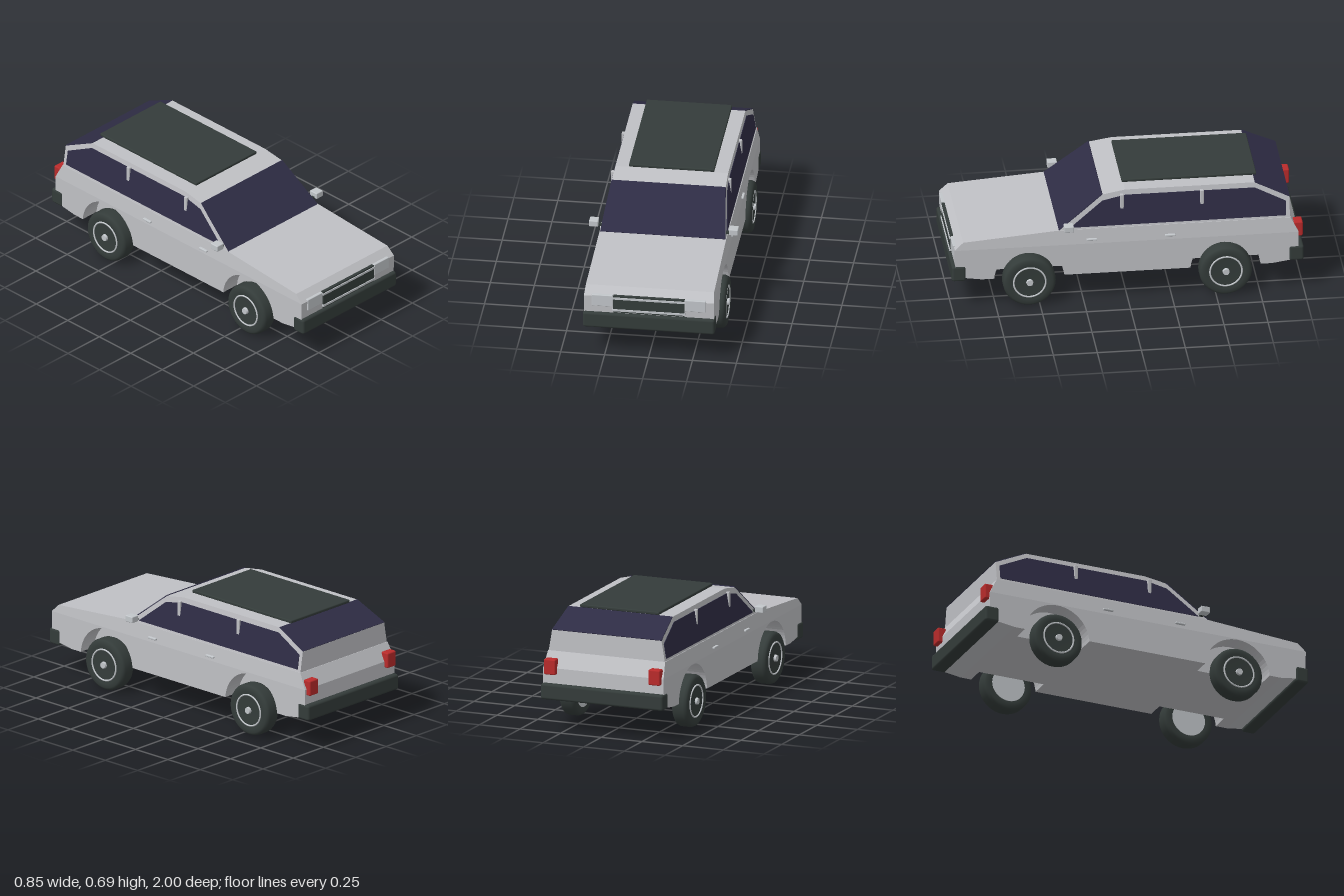
import * as THREE from 'three';
import { RoundedBoxGeometry } from 'three/addons/geometries/RoundedBoxGeometry.js';

const material = (name, color) => {
  const m = new THREE.MeshStandardMaterial({ color });
  m.name = name;
  return m;
};

export function createModel() {
  const paint = material('silver paint', 0xbfc0c4);
  const trim = material('light trim', 0xc2c6ca);
  const dark = material('dark rubber', 0x343c3a);
  const glass = material('tinted glass', 0x2e2c44);
  const red = material('red lamp', 0xb92b2b);

  const car = new THREE.Group();
  car.name = 'car';

  const add = (name, geometry, mat, parent = car) => {
    const mesh = new THREE.Mesh(geometry, mat);
    mesh.name = name;
    parent.add(mesh);
    return mesh;
  };

  // Box given by its limits on each axis, with optional rounded edges
  const box = (name, [x0, x1], [y0, y1], [z0, z1], mat, r = 0) => {
    const size = [x1 - x0, y1 - y0, z1 - z0];
    const g = r ? new RoundedBoxGeometry(...size, 3, r) : new THREE.BoxGeometry(...size);
    g.translate((x0 + x1) / 2, (y0 + y1) / 2, (z0 + z1) / 2);
    return add(name, g, mat);
  };

  // Side profile of [z, y] points, swept across x between two limits that may vary with height
  const prism = (name, profile, xMin, xMax, mat) => {
    const shape = new THREE.Shape(profile.map(([z, y]) => new THREE.Vector2(z, y)));
    const g = new THREE.ExtrudeGeometry(shape, { depth: 2, bevelEnabled: false });
    g.translate(0, 0, -1).rotateY(-Math.PI / 2);
    const p = g.attributes.position;
    for (let i = 0; i < p.count; i++) {
      p.setX(i, p.getX(i) > 0 ? xMax(p.getY(i)) : xMin(p.getY(i)));
    }
    g.computeVertexNormals();
    return add(name, g, mat);
  };
  const across = (name, profile, half, mat) => prism(name, profile, y => -half(y), half, mat);

  // Lower body: a plain core between side panels with wheel arches
  const axles = [-0.555, 0.56];
  const split = 0.365, sill = 0.175, core = 0.26, width = 0.37;
  const nose = [[0.83, sill], [0.93, 0.19], [0.98, 0.25], [0.983, split]];
  const tail = [[-0.97, split], [-0.97, 0.25], [-0.92, 0.19], [-0.82, sill]];
  across('lowerBody', [...nose, ...tail], () => core, paint);

  const arches = [];
  for (const z of axles) {
    const a0 = Math.asin((sill - 0.16) / 0.2);
    for (let i = 0; i <= 28; i++) {
      const a = Math.PI - a0 - (i / 28) * (Math.PI - 2 * a0);
      arches.push([z + 0.2 * Math.cos(a), 0.16 + 0.2 * Math.sin(a)]);
    }
  }
  const panel = [tail[3], ...arches, ...nose, ...tail.slice(0, 3)];
  prism('leftSidePanel', panel, () => core, () => width, paint);
  prism('rightSidePanel', panel, () => -width, () => -core, paint);

  // Shoulders and bonnet, narrowing slightly towards the waistline
  across('upperBody', [[0.983, split], [0.935, 0.412], [0.39, 0.453], [-0.925, 0.455], [-0.97, split]],
    y => width - (y - split) * 0.11, paint);

  // Cabin with sides leaning inwards
  const cabinHalf = y => 0.357 - (y - 0.453) * 0.167;
  const glassHalf = y => cabinHalf(y) + 0.003;
  across('cabin', [[0.39, 0.448], [0.14, 0.648], [0.01, 0.67], [-0.725, 0.67], [-0.922, 0.575], [-0.922, 0.448]],
    cabinHalf, paint);
  across('sideWindows', [[0.325, 0.465], [0.14, 0.613], [0.01, 0.64], [-0.725, 0.64], [-0.9, 0.553], [-0.9, 0.468]],
    glassHalf, glass);
  across('windscreen', [[0.388, 0.452], [0.391, 0.455], [0.141, 0.653], [0.138, 0.648]], cabinHalf, glass);
  across('rearWindow', [[-0.727, 0.668], [-0.729, 0.672], [-0.924, 0.578], [-0.921, 0.574]], cabinHalf, glass);

  // Roof rack panel on small feet
  box('roofPanel', [-0.243, 0.243], [0.675, 0.693], [-0.745, 0.02], dark, 0.006);
  for (const x of [-0.2, 0.2]) for (const z of [-0.65, -0.08]) {
    box('roofPanelFoot', [x - 0.01, x + 0.01], [0.665, 0.68], [z - 0.01, z + 0.01], dark);
  }

  // Bumpers
  box('frontBumper', [-0.375, 0.375], [0.17, 0.265], [0.92, 1], dark, 0.014);
  box('rearBumper', [-0.375, 0.375], [0.185, 0.277], [-1, -0.915], dark, 0.014);

  // Grille
  box('grille', [-0.203, 0.203], [0.272, 0.376], [0.96, 0.99], dark);
  for (const y of [0.287, 0.362]) {
    box('grilleBar', [-0.207, 0.207], [y - 0.006, y + 0.006], [0.97, 0.995], trim);
  }

  // Parts repeated on both sides
  for (const s of [-1, 1]) {
    const side = s > 0 ? 'left' : 'right';
    const span = (a, b) => (s > 0 ? [a, b] : [-b, -a]);
    box(side + 'Headlight', span(0.206, 0.325), [0.305, 0.376], [0.96, 0.989], trim, 0.004);
    box(side + 'TailLight', span(0.286, 0.357), [0.33, 0.42], [-0.996, -0.945], red, 0.008);
    box(side + 'MirrorArm', span(0.34, 0.38), [0.467, 0.478], [0.33, 0.35], dark);
    box(side + 'Mirror', span(0.372, 0.424), [0.467, 0.504], [0.312, 0.367], trim, 0.005);
    for (const z of [0.205, -0.24]) {
      box(side + 'DoorHandle', span(0.355, 0.38), [0.385, 0.397], [z - 0.03, z + 0.03], trim, 0.004);
    }
    for (const z of [0.03, -0.425]) {
      box(side + 'Pillar', span(0.316, 0.342), [0.5, 0.648], [z - 0.011, z + 0.011], paint, 0.004);
    }
  }

  // Wheels: profiles run along the axle, outer face towards +y before turning
  const tyreProfile = [[0, -0.045], [0.1, -0.045], [0.108, -0.049], [0.132, -0.048], [0.144, -0.04], [0.15, -0.026],
    [0.15, 0.026], [0.144, 0.04], [0.132, 0.048], [0.108, 0.05], [0.098, 0.044], [0, 0.044]]
    .map(([r, y]) => new THREE.Vector2(r, y));
  const makeWheel = (name, x, z) => {
    const wheel = new THREE.Group();
    wheel.name = name;
    add('tyre', new THREE.LatheGeometry(tyreProfile, 40), dark, wheel);
    add('rimRing', new THREE.TorusGeometry(0.091, 0.005, 8, 40).rotateX(Math.PI / 2), trim, wheel).position.y = 0.045;
    add('hubCap', new THREE.CylinderGeometry(0.018, 0.021, 0.018, 20), trim, wheel).position.y = 0.049;
    add('innerRim', new THREE.CylinderGeometry(0.1, 0.1, 0.006, 36), trim, wheel).position.y = -0.046;
    wheel.rotation.z = x > 0 ? -Math.PI / 2 : Math.PI / 2;
    wheel.position.set(x, 0.15, z);
    car.add(wheel);
  };
  for (const x of [-0.346, 0.346]) {
    const side = x > 0 ? 'left' : 'right';
    makeWheel(side + 'RearWheel', x, axles[0]);
    makeWheel(side + 'FrontWheel', x, axles[1]);
  }

  return car;
}
